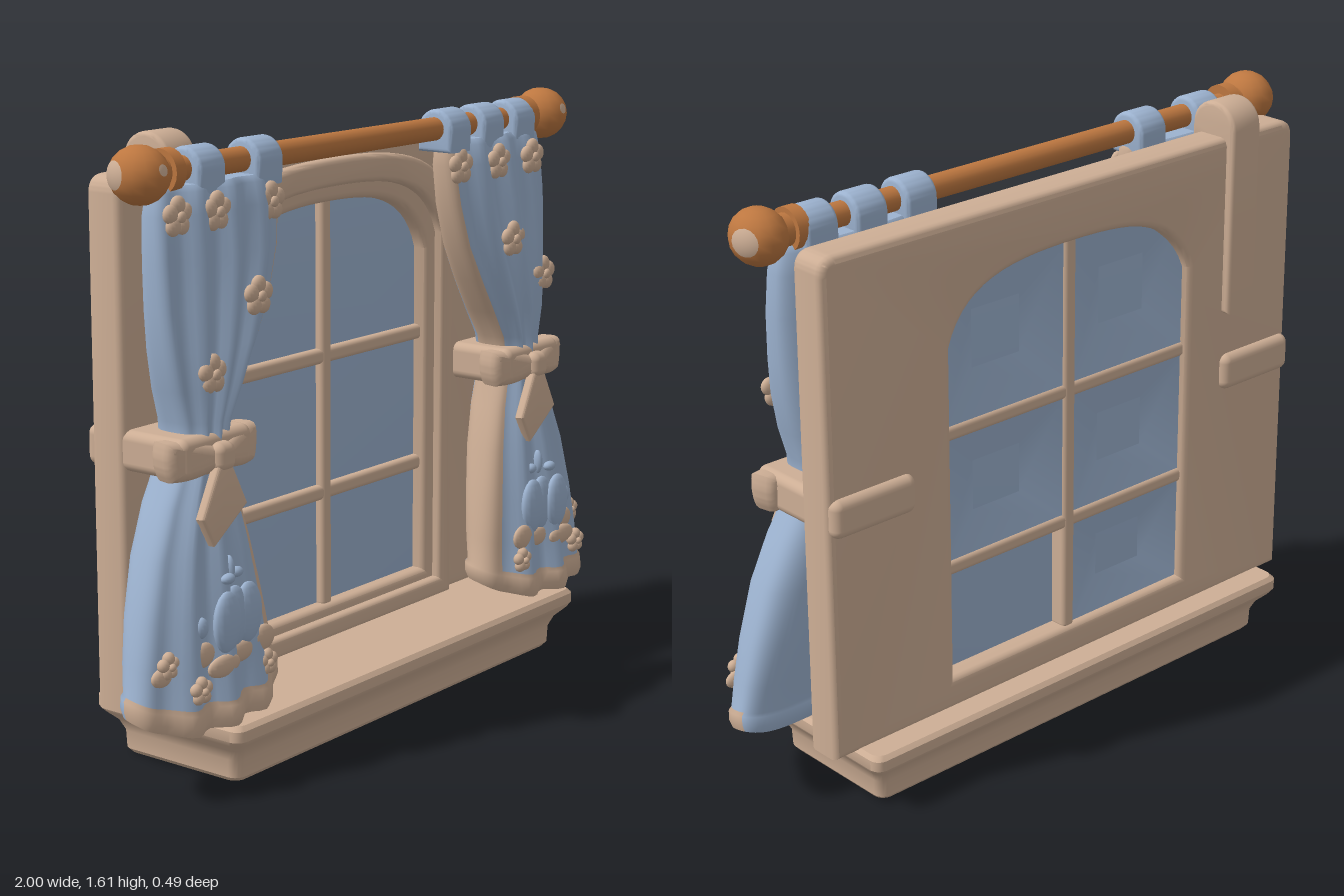
import * as THREE from 'three';
import { toCreasedNormals } from 'three/addons/utils/BufferGeometryUtils.js';
import { RoundedBoxGeometry } from 'three/addons/geometries/RoundedBoxGeometry.js';

const mat = (name, color, side = THREE.FrontSide) => {
  const m = new THREE.MeshStandardMaterial({ color, side });
  m.name = name;
  return m;
};

export function createModel() {
  const tan = mat('tan', 0xcdae95);
  const blue = mat('blue', 0x9cb2cf, THREE.DoubleSide);
  const wood = mat('wood', 0xbd7740);
  const model = new THREE.Group();
  model.name = 'curtainedWindow';

  const add = (name, geo, material, x = 0, y = 0, z = 0, parent = model) => {
    const mesh = new THREE.Mesh(geo, material);
    mesh.name = name;
    mesh.position.set(x, y, z);
    parent.add(mesh);
    return mesh;
  };
  const box = (name, w, h, d, r, material, x, y, z, parent) =>
    add(name, new RoundedBoxGeometry(w, h, d, 3, r), material, x, y, z, parent);
  // ellipsoid lump
  const blob = (name, rx, ry, rz, material, x, y, z, parent) => {
    const geo = new THREE.SphereGeometry(1, 14, 10).scale(rx, ry, rz);
    return add(name, geo, material, x, y, z, parent);
  };
  // extruded shape, depth includes the bevel, starting at z = 0
  const slab = (shape, depth, bevel) => {
    const geo = new THREE.ExtrudeGeometry(shape, {
      depth: depth - 2 * bevel, bevelSize: bevel, bevelThickness: bevel,
      bevelOffset: -bevel, bevelSegments: 3, curveSegments: 14,
    }).translate(0, 0, bevel);
    return toCreasedNormals(geo, 0.6);
  };
  // closed rings from bottom to top, with caps; pick(i, j) chooses the material index
  const loft = (rings, pick = () => 0) => {
    const n = rings[0].length, pos = rings.flat(2), parts = [[], []];
    rings.forEach((ring, i) => {
      if (i === rings.length - 1) return;
      for (let j = 0; j < n; j++) {
        const a = i * n + j, c = i * n + (j + 1) % n;
        parts[pick(i, j)].push(a, a + n, c, c, a + n, c + n);
      }
    });
    [rings[0], rings[rings.length - 1]].forEach((ring, top) => {
      const base = pos.length / 3, mid = [0, 1, 2].map(k => ring.reduce((s, p) => s + p[k], 0) / n);
      pos.push(...ring.flat(), ...mid);
      for (let j = 0; j < n; j++) {
        const a = base + j, b = base + (j + 1) % n;
        parts[0].push(base + n, top ? b : a, top ? a : b);
      }
    });
    const geo = new THREE.BufferGeometry();
    geo.setAttribute('position', new THREE.Float32BufferAttribute(pos, 3));
    geo.setIndex([...parts[0], ...parts[1]]);
    geo.addGroup(0, parts[0].length, 0);
    geo.addGroup(parts[0].length, parts[1].length, 1);
    geo.computeVertexNormals();
    return geo;
  };

  // Sill: moulded profile carried round a rounded rectangle
  const sillRows = [[0, 0.7, 0.185], [0.012, 0.71, 0.195], [0.06, 0.712, 0.197], [0.09, 0.725, 0.21],
    [0.115, 0.75, 0.235], [0.13, 0.76, 0.245], [0.158, 0.76, 0.245], [0.17, 0.75, 0.235]];
  const sill = loft(sillRows.map(([y, hx, hz]) => Array.from({ length: 24 }, (_, j) => {
    const corner = Math.floor(j / 6), a = (corner + (j % 6) / 5) * Math.PI / 2, r = 0.03;
    const sx = corner === 0 || corner === 3 ? 1 : -1, sz = corner < 2 ? 1 : -1;
    return [sx * (hx - r) + r * Math.cos(a), y, sz * (hz - r) + r * Math.sin(a)];
  })));
  add('sill', toCreasedNormals(sill, 0.6), tan);

  // Frame with arched opening
  const arch = (path, hw, bottom, top) => {
    const spring = top - 0.18;
    path.moveTo(-hw, bottom);
    path.lineTo(hw, bottom);
    path.lineTo(hw, spring);
    path.bezierCurveTo(hw * 0.88, top - 0.02, hw * 0.5, top, 0, top);
    path.bezierCurveTo(-hw * 0.5, top, -hw * 0.88, top - 0.02, -hw, spring);
    path.lineTo(-hw, bottom);
    return path;
  };
  const outer = new THREE.Shape();
  const W = 0.83, T = 1.52, R = 0.05;
  outer.moveTo(-W, 0.16);
  outer.lineTo(W, 0.16);
  outer.lineTo(W, T - R);
  outer.quadraticCurveTo(W, T, W - R, T);
  outer.lineTo(-W + R, T);
  outer.quadraticCurveTo(-W, T, -W, T - R);
  outer.holes.push(arch(new THREE.Path(), 0.425, 0.25, 1.365));
  add('frame', slab(outer, 0.11, 0.02), tan, 0, 0, -0.168);
  const trim = arch(new THREE.Shape(), 0.52, 0.165, 1.485);
  trim.holes.push(arch(new THREE.Path(), 0.465, 0.22, 1.41));
  add('archTrim', slab(trim, 0.06, 0.015), tan, 0, 0, -0.09);
  add('glass', slab(arch(new THREE.Shape(), 0.44, 0.24, 1.38), 0.008, 0.001), blue, 0, 0, -0.108);
  box('verticalBar', 0.042, 1.14, 0.08, 0.014, tan, 0, 0.81, -0.115);
  for (const y of [0.945, 0.565]) box('crossBar', 0.88, 0.042, 0.075, 0.014, tan, 0, y, -0.115);

  // Sloping blue reveals behind the panes; the lower left pane is plain
  for (const [y, h] of [[0.4, 0.31], [0.755, 0.35], [1.165, 0.4]]) for (const s of [-1, 1]) {
    if (s > 0 && y < 0.5) continue;
    const geo = new THREE.CylinderGeometry(0.4, 1, 0.036, 4, 1, true, Math.PI / 4);
    geo.rotateX(Math.PI / 2).scale(0.41 / Math.SQRT2, h / Math.SQRT2, 1);
    add('paneReveal', geo, blue, s * 0.225, y, -0.127);
  }

  // Hanging hook over the top of the frame (shape x runs towards the back)
  const hook = new THREE.Shape();
  hook.moveTo(0.04, 1.49);
  hook.lineTo(0.04, 1.54);
  hook.bezierCurveTo(0.045, 1.635, 0.185, 1.635, 0.192, 1.54);
  hook.lineTo(0.192, 1.02);
  hook.lineTo(0.16, 1.02);
  hook.lineTo(0.16, 1.49);
  add('hook', slab(hook, 0.11, 0.012).rotateY(Math.PI / 2), tan, -0.67, 0, 0);

  // Rod with ball ends and rings
  const rodY = 1.535, rodZ = 0.028;
  const rod = (name, r, len, x) =>
    add(name, new THREE.CylinderGeometry(r, r, len, 20).rotateZ(Math.PI / 2), wood, x, rodY, rodZ);
  rod('rod', 0.032, 1.62, 0);
  // thin pale patch on a ball, facing the given direction
  const ballPatch = (x, dir, angle) => {
    const geo = new THREE.SphereGeometry(1.015, 16, 5, 0, Math.PI * 2, 0, angle);
    const up = new THREE.Vector3(0, 1, 0);
    geo.applyQuaternion(new THREE.Quaternion().setFromUnitVectors(up, dir.normalize()));
    add('ballPatch', geo.scale(0.071, 0.073, 0.08), tan, x, rodY, 0.033);
  };
  for (const s of [-1, 1]) {
    const x = s * 0.853;
    blob('rodBall', 0.071, 0.073, 0.08, wood, x, rodY, 0.033);
    ballPatch(x, new THREE.Vector3(s * 0.9, 0.05, -0.35), 0.5);
    ballPatch(x, new THREE.Vector3(0, 0.25, 1), 0.2);
    rod('rodRing', 0.056, 0.036, s * 0.758);
    rod('rodCollar', 0.042, 0.04, s * 0.79);
  }

  // Curtain rows: height, inner x, outer x, centre z, half depth, fold depth
  const rows = [
    [0.17, 0.475, 0.995, 0.095, 0.112, 0.016], [0.195, 0.465, 1.0, 0.095, 0.12, 0.016],
    [0.225, 0.465, 0.998, 0.094, 0.115, 0.016], [0.235, 0.475, 0.99, 0.093, 0.108, 0.016],
    [0.32, 0.485, 0.975, 0.083, 0.108, 0.016], [0.45, 0.505, 0.945, 0.07, 0.106, 0.013],
    [0.6, 0.535, 0.895, 0.055, 0.1, 0.012], [0.72, 0.57, 0.835, 0.045, 0.092, 0.01],
    [0.8, 0.6, 0.785, 0.042, 0.085, 0.008], [0.86, 0.61, 0.76, 0.042, 0.083, 0.008],
    [0.92, 0.595, 0.765, 0.042, 0.085, 0.008], [1.0, 0.54, 0.79, 0.042, 0.09, 0.01],
    [1.1, 0.475, 0.81, 0.041, 0.09, 0.013], [1.2, 0.42, 0.82, 0.038, 0.085, 0.015],
    [1.32, 0.38, 0.824, 0.035, 0.08, 0.015], [1.43, 0.365, 0.82, 0.03, 0.073, 0.012],
    [1.485, 0.368, 0.81, 0.028, 0.062, 0.01], [1.5, 0.38, 0.8, 0.028, 0.045, 0.006]];
  const lowness = y => THREE.MathUtils.clamp(1 - (y - 0.17) / 0.5, 0, 1);
  // depth of the cloth at side position u; the left hem swings back at its outer end
  const clothZ = (s, y, zc, hd, amp, u, sin) => {
    const low = lowness(y), swing = u > 0 ? (s > 0 ? -0.075 : 0.01) * u * u * low : 0;
    const ripple = sin > 0 ? amp * sin * Math.cos(u * 12) : 0;
    return zc + swing + hd * Math.sign(sin) * Math.abs(sin) ** (0.7 + 0.25 * low) + ripple;
  };
  const frontZ = (s, x, y) => {
    const i = Math.max(1, rows.findIndex(r => r[0] >= y)), a = rows[i - 1], b = rows[i];
    const t = (y - a[0]) / (b[0] - a[0]);
    const [, x0, x1, zc, hd, amp] = a.map((v, k) => v + (b[k] - v) * t);
    const u = THREE.MathUtils.clamp((x - (x0 + x1) / 2) / ((x1 - x0) / 2), -0.97, 0.97);
    return clothZ(s, y, zc, hd, amp, u, Math.sqrt(1 - u * u));
  };
  const N = 72;
  const flowers = {
    '-1': [[0.77, 1.43], [0.645, 1.43], [0.43, 1.43], [0.53, 1.21], [0.7, 1.04]],
    '1': [[0.4, 1.43], [0.55, 1.43], [0.7, 1.43], [0.59, 1.21], [0.75, 1.09]],
  };
  const tabs = { '-1': [0.645, 0.425], '1': [0.39, 0.55, 0.705] };

  for (const s of [-1, 1]) {
    const side = new THREE.Group();
    side.name = s > 0 ? 'leftCurtain' : 'rightCurtain';
    model.add(side);

    // Cloth with tan hem on the front and tan inner border
    const rings = rows.map(([y, x0, x1, zc, hd, amp]) => Array.from({ length: N }, (_, j) => {
      const a = s * 2 * Math.PI * j / N, u = Math.cos(a);
      const z = clothZ(s, y, zc, hd, amp, u, Math.sin(a));
      const low = Math.max(0, 1 - (y - 0.17) / 0.35);
      const lift = low * (0.22 * Math.max(0, 0.21 - z) + 0.03 * u ** 4);
      return [s * ((x0 + x1) / 2 + (x1 - x0) / 2 * u), y + lift, z];
    }));
    const isTan = (i, j) => {
      const a = 2 * Math.PI * (j + 0.5) / N;
      return (i < 3 && s * Math.sin(a) > -0.2) || Math.cos(a) < (i < 8 ? -0.82 : -0.9);
    };
    add('cloth', loft(rings, (i, j) => isTan(i, j) ? 1 : 0), [blue, tan], 0, 0, 0, side);

    // Tabs looped over the rod
    const tab = new THREE.Shape();
    tab.moveTo(-0.055, 1.47);
    tab.lineTo(0.058, 1.47);
    tab.lineTo(0.058, 1.53);
    tab.absarc(0, 1.53, 0.058, 0, Math.PI, false);
    for (const x of tabs[s])
      add('tab', slab(tab, 0.1, 0.012).rotateY(Math.PI / 2), blue, s * x - 0.05, 0, rodZ, side);

    // Flowers
    const low = [[0.91, 0.355], [0.575, 0.285], [0.845, 0.285]];
    for (const [k, [x, y]] of [...flowers[s], ...low].entries()) {
      const flower = new THREE.Group(), r = k < 5 ? 0.028 : 0.02;
      flower.name = 'flower';
      flower.position.set(s * x, y, frontZ(s, x, y) + 0.004);
      side.add(flower);
      for (let p = 0; p < 5; p++) {
        const a = Math.PI / 2 + p * Math.PI * 0.4;
        blob('petal', r * 0.85, r * 0.85, 0.015, tan, r * Math.cos(a), r * Math.sin(a), 0, flower);
      }
      blob('flowerCentre', r * 0.5, r * 0.5, 0.009, tan, 0, 0, 0.013, flower);
    }

    // Raised round motif with sprout, above tan patches
    const lump = (name, dx, y, rx, ry, m, rz = 0.016) =>
      blob(name, rx, ry, rz, m, s * 0.685 + dx, y, frontZ(s, 0.685 + s * dx, y), side);
    for (const dx of [-0.05, 0, 0.05]) lump('motifBody', dx, 0.43, 0.048, 0.08, blue, 0.022);
    lump('stem', 0, 0.55, 0.012, 0.035, blue);
    for (const d of [-1, 1]) lump('leaf', d * 0.03, 0.535, 0.022, 0.014, blue);
    lump('heart', s * 0.125, 0.43, 0.022, 0.027, blue);
    for (const [dx, y, rx, ry] of [[0.12, 0.36, 0.04, 0.032], [0.07, 0.325, 0.06, 0.028],
      [-0.02, 0.335, 0.065, 0.028], [-0.1, 0.35, 0.045, 0.035], [0.24, 0.33, 0.04, 0.025]])
      lump('patch', s * dx, y, rx, ry, tan, 0.015);

    // Tieback band through to the back of the frame
    box('tieback', 0.265, 0.105, 0.325, 0.025, tan, s * 0.692, 0.842, -0.029, side);

    // Bow: two flared loops, knot and tail
    const bow = new THREE.Group();
    bow.name = 'bow';
    bow.position.set(s * 0.69, 0.835, 0.115);
    side.add(bow);
    for (const d of [-1, 1]) {
      const loop = new THREE.Shape();
      loop.moveTo(0, -0.028);
      loop.quadraticCurveTo(0.07, -0.055, 0.14, -0.045);
      loop.quadraticCurveTo(0.165, 0, 0.15, 0.055);
      loop.quadraticCurveTo(0.07, 0.055, 0, 0.028);
      const geo = slab(loop, 0.085, 0.025);
      if (d < 0) geo.rotateY(Math.PI).translate(0, 0, 0.085);
      add('bowLoop', geo, tan, 0, 0, -0.045, bow).rotation.y = d * 0.22;
    }
    box('knot', 0.07, 0.075, 0.06, 0.024, tan, 0, 0, 0.02, bow);
    const tail = new THREE.Shape();
    tail.moveTo(0.02, -0.02);
    tail.lineTo(-0.03, -0.02);
    tail.lineTo(-0.1, -0.14);
    tail.lineTo(-0.06, -0.215);
    tail.lineTo(0.07, -0.13);
    add('bowTail', slab(tail, 0.03, 0.008), tan, 0, 0, 0.012, bow).rotation.x = -0.06;
  }
  return model;
}
